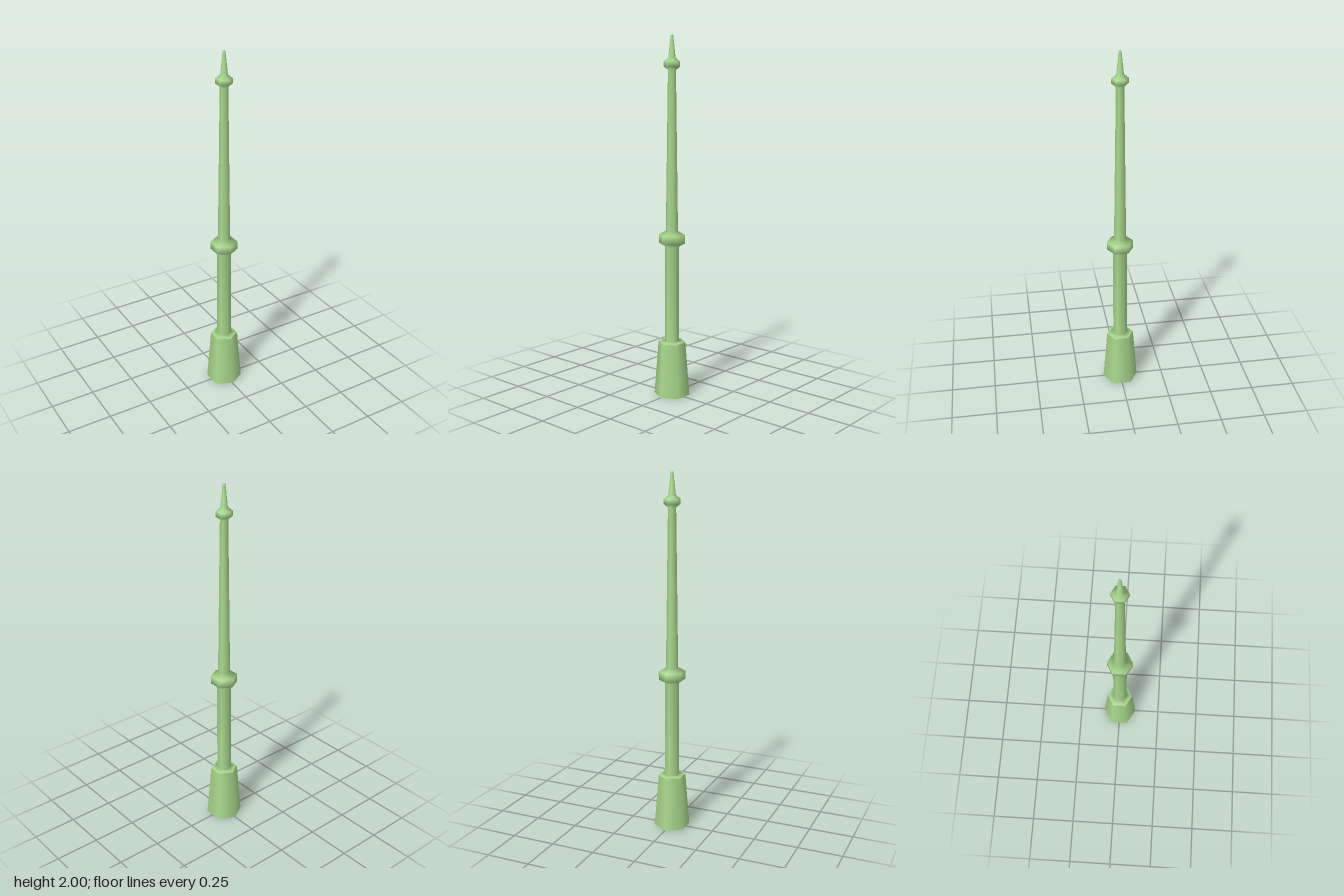
import * as THREE from 'three';

const SIDES = 6;

// Radius and height up the whole post, from the open foot to the closed tip
const PROFILE = [
  [0.101, 0], [0.077, 0.3], [0.073, 0.31], [0.04, 0.312],
  [0.04, 0.852], [0.074, 0.872], [0.074, 0.918], [0.034, 0.94],
  [0.022, 1.815], [0.045, 1.833], [0.045, 1.86], [0.02, 1.88],
  [0.007, 2], [0, 2],
];

// Parts as spans of the profile, so that shading flows from one to the next
const PARTS = [
  ['base', 0, 3],
  ['lowerPole', 3, 4],
  ['middleCollar', 4, 7],
  ['upperPole', 7, 8],
  ['topCollar', 8, 11],
  ['spike', 11, 13],
];

export function createModel() {
  const group = new THREE.Group();
  group.name = 'hexagonalPost';
  const material = new THREE.MeshStandardMaterial({ color: 0xa8d88c, side: THREE.DoubleSide });
  const lathe = new THREE.LatheGeometry(PROFILE.map(([r, y]) => new THREE.Vector2(r, y)), SIDES);
  const rows = PROFILE.length - 1;
  const index = Array.from(lathe.index.array);

  for (const [name, from, to] of PARTS) {
    // Keep the six-sided bands that belong to this part
    const faces = [];
    for (let side = 0; side < SIDES; side++) {
      faces.push(...index.slice((side * rows + from) * 6, (side * rows + to) * 6));
    }
    // Own vertices per part, with the shared smooth normals
    const whole = lathe.clone();
    whole.setIndex(faces);
    const mesh = new THREE.Mesh(whole.toNonIndexed(), material);
    mesh.name = name;
    group.add(mesh);
  }
  return group;
}
